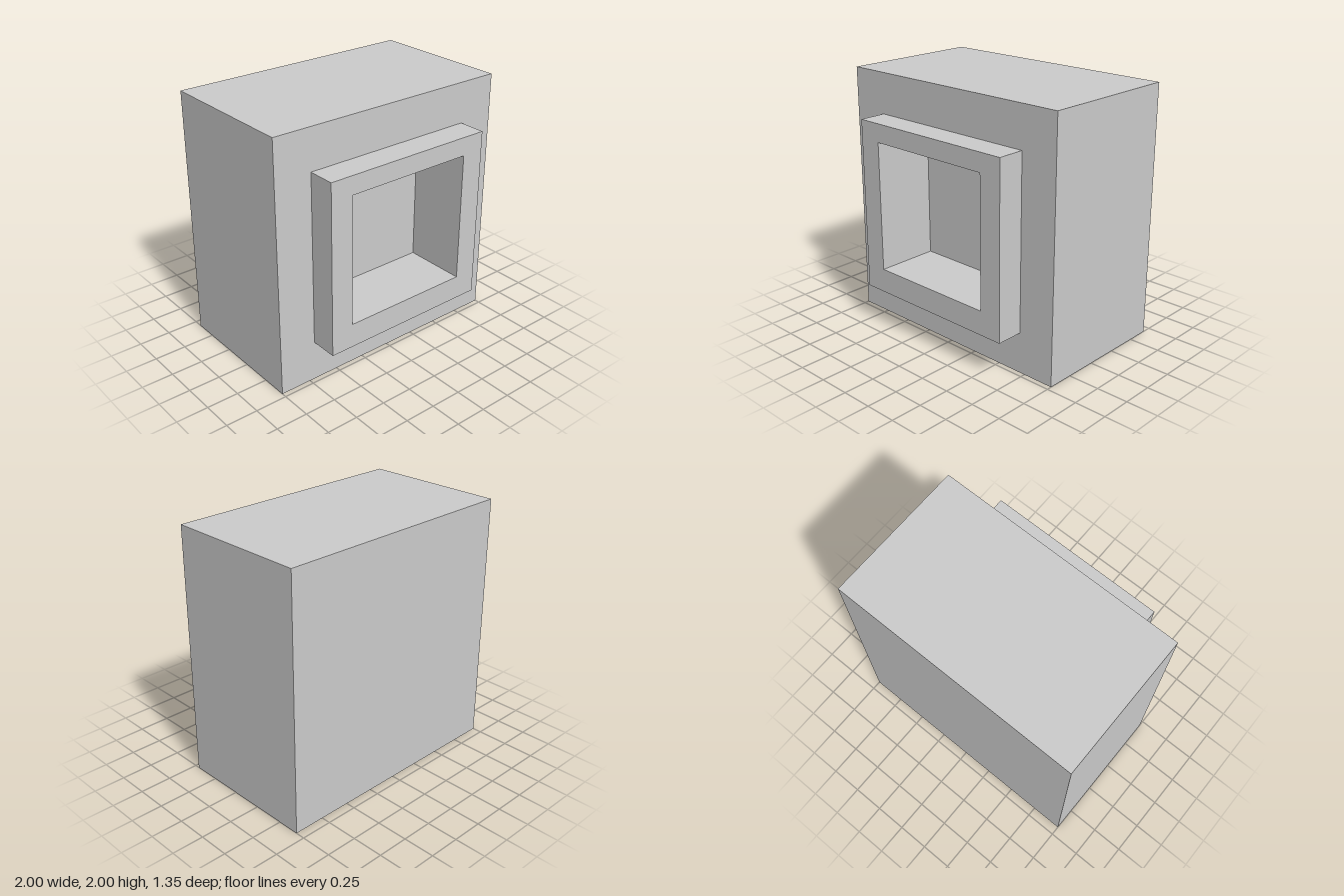
import * as THREE from 'three';

// Rectangular cross-sections: half width, bottom, top, z
const backRim = [1, 0, 2, -0.677];
const frontRim = [1, 0, 2, 0.461];
const frameBase = [0.703, 0.32, 1.678, 0.461];
const frameFront = [0.703, 0.32, 1.678, 0.677];
const openingFront = [0.521, 0.511, 1.533, 0.677];
const recessFloor = [0.521, 0.511, 1.533, 0.18];

// Corners run anticlockwise as seen from the front
const corners = ([w, y0, y1, z]) => [[-w, y0, z], [w, y0, z], [w, y1, z], [-w, y1, z]];

// Skin a run of sections ordered from back to front over the outside
function skin(name, sections, { capStart = false, capEnd = false } = {}) {
  const points = [];
  const quad = (a, b, c, d) => points.push(...a, ...b, ...c, ...a, ...c, ...d);
  const loops = sections.map(corners);
  for (let s = 0; s < loops.length - 1; s++) {
    for (let i = 0; i < 4; i++) {
      const j = (i + 1) % 4;
      quad(loops[s][i], loops[s][j], loops[s + 1][j], loops[s + 1][i]);
    }
  }
  if (capStart) quad(...[...loops[0]].reverse());
  if (capEnd) quad(...loops[loops.length - 1]);

  const geometry = new THREE.BufferGeometry();
  geometry.setAttribute('position', new THREE.Float32BufferAttribute(points, 3));
  geometry.computeVertexNormals();
  const mesh = new THREE.Mesh(geometry, new THREE.MeshStandardMaterial({ color: 0xcccccc, flatShading: true }));
  mesh.name = name;
  return mesh;
}

export function createModel() {
  const model = new THREE.Group();
  model.name = 'framedBlock';
  model.add(
    // Main block, open in front where the frame joins
    skin('body', [backRim, frontRim, frameBase], { capStart: true }),
    // Raised square border
    skin('frame', [frameBase, frameFront, openingFront]),
    // Pocket sunk through the frame into the block
    skin('recess', [openingFront, recessFloor], { capEnd: true }),
  );
  return model;
}
